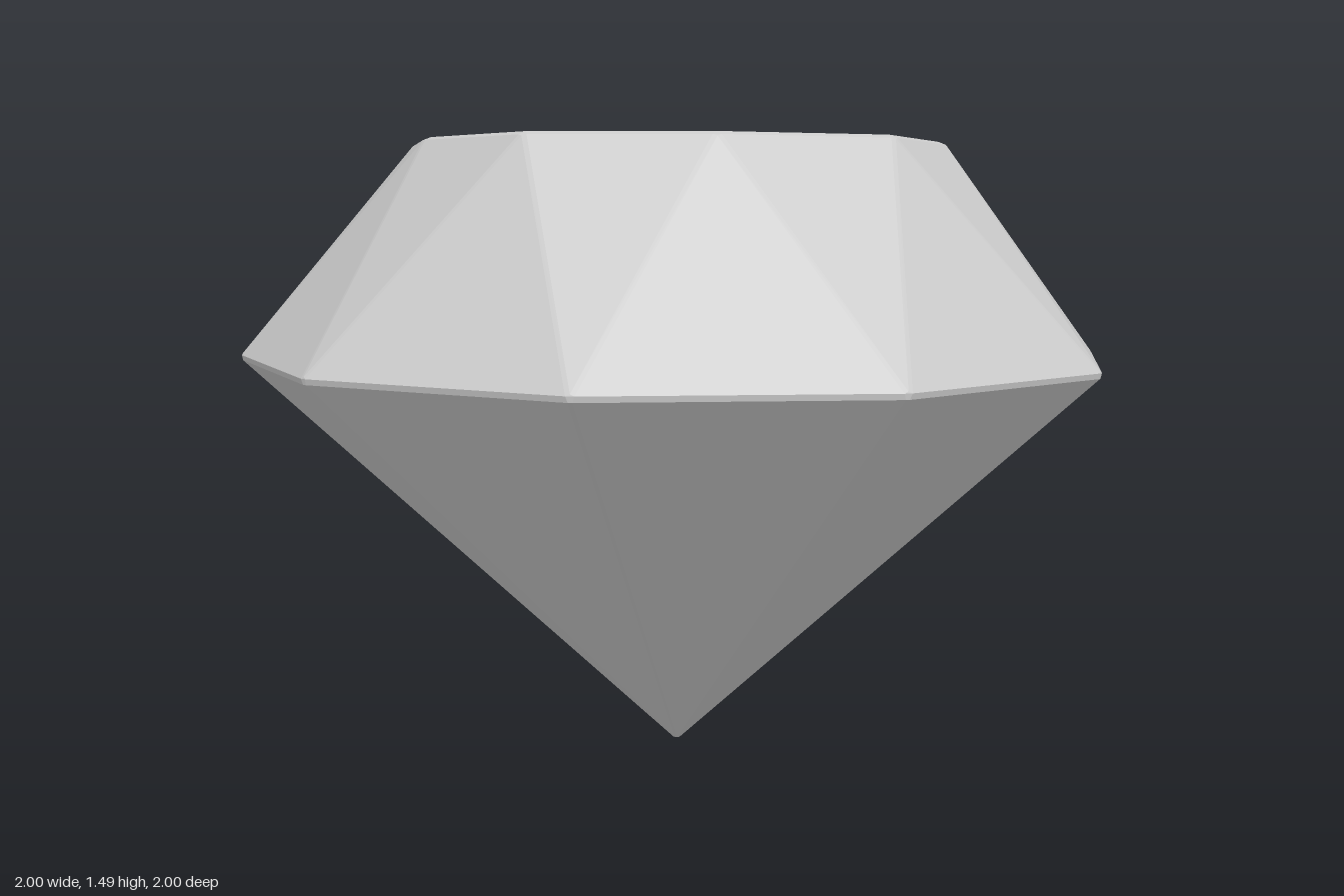
import * as THREE from 'three';
import { ConvexGeometry } from 'three/addons/geometries/ConvexGeometry.js';

const SIDES = 10;
const BEVEL = 0.012;

// Ring of points around the stone's axis; radius may depend on the index
function ring(radius, y, startDeg) {
  return Array.from({ length: SIDES }, (_, i) => {
    const a = THREE.MathUtils.degToRad(startDeg + (i * 360) / SIDES);
    const r = radius(i);
    return new THREE.Vector3(r * Math.cos(a), y, r * Math.sin(a));
  });
}

// Pull a facet's corners slightly inward so the hull leaves a fine bevel
function inset(facet) {
  const centre = new THREE.Vector3();
  facet.forEach((p) => centre.addScaledVector(p, 1 / facet.length));
  return facet.map((p) => p.clone().addScaledVector(centre.clone().sub(p).normalize(), BEVEL));
}

export function createModel() {
  const girdle = ring(() => 1.019, 0, -9.1);
  const table = ring((i) => (i % 2 ? 0.613 : 0.649), 0.497, 8.7);
  const tip = new THREE.Vector3(0, -0.943, 0);

  // Flat table, staggered crown triangles and the pointed pavilion
  const facets = [table];
  for (let i = 0; i < SIDES; i++) {
    const j = (i + 1) % SIDES;
    facets.push([girdle[i], girdle[j], table[i]]);
    facets.push([table[i], table[j], girdle[j]]);
    facets.push([girdle[i], girdle[j], tip]);
  }

  const geometry = new ConvexGeometry(facets.flatMap(inset));
  const material = new THREE.MeshStandardMaterial({ color: 0xcccccc, flatShading: true });
  const gem = new THREE.Mesh(geometry, material);
  gem.name = 'cutGem';

  // Lean the stone's axis a little, then rest its tip on the ground
  const axis = new THREE.Vector3(-0.068, 1, -0.093).normalize();
  gem.quaternion.setFromUnitVectors(new THREE.Vector3(0, 1, 0), axis);
  gem.updateMatrixWorld(true);
  gem.position.y = -new THREE.Box3().setFromObject(gem, true).min.y;

  const model = new THREE.Group();
  model.name = 'gemstone';
  model.add(gem);
  return model;
}
